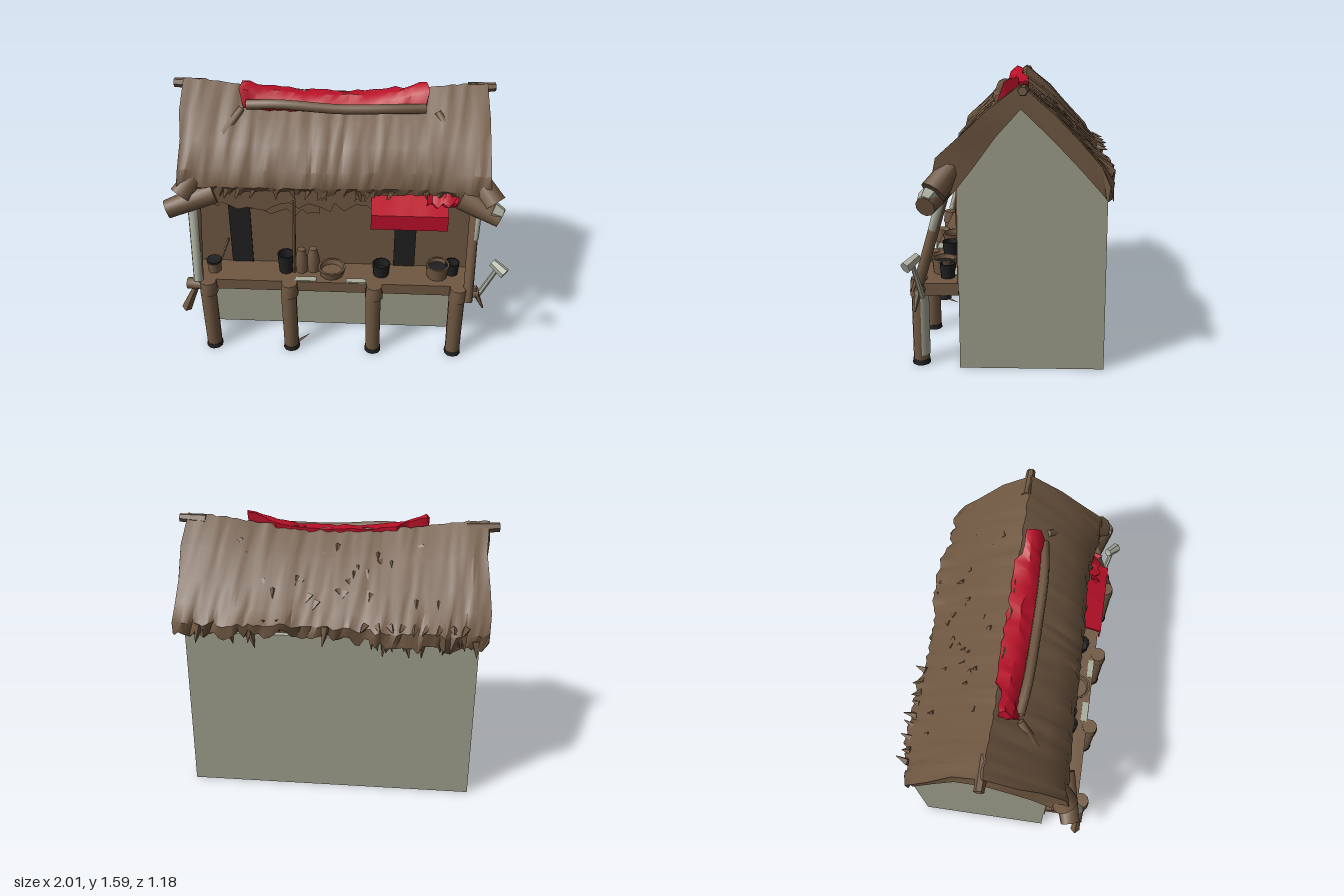
import * as THREE from 'three';
import { toCreasedNormals } from 'three/addons/utils/BufferGeometryUtils.js';

const paint = (name, color, side = THREE.DoubleSide) => {
  const m = new THREE.MeshStandardMaterial({ color, side });
  m.name = name;
  return m;
};

export function createModel() {
  const model = new THREE.Group();
  model.name = 'thatchedHut';
  const brown = paint('thatchBrown', 0x705842);
  const plaster = paint('plasterGrey', 0x9e9f8c);
  const black = paint('sootBlack', 0x202021);
  const red = paint('clothRed', 0xba1028);
  const pale = paint('paleWood', 0xa9ac9c);

  let seed = 7;
  const rnd = () => (seed = (seed * 16807) % 2147483647) / 2147483647;
  const jit = (a) => (rnd() * 2 - 1) * a;
  const V = (p) => new THREE.Vector3(...p);
  const hump = (x, mid, half) => Math.max(0, 1 - ((x - mid) / half) ** 2);

  const add = (name, geo, mat, pos = [0, 0, 0]) => {
    const m = new THREE.Mesh(geo, mat);
    m.name = name;
    m.position.set(...pos);
    model.add(m);
    return m;
  };
  const box = (name, mat, x0, x1, y0, y1, z0, z1) =>
    add(name, new THREE.BoxGeometry(x1 - x0, y1 - y0, z1 - z0), mat, [(x0 + x1) / 2, (y0 + y1) / 2, (z0 + z1) / 2]);

  // tapered pole between two points
  const rod = (name, mat, a, b, ra, rb, sides = 8) => {
    const d = V(b).sub(V(a));
    const geo = toCreasedNormals(new THREE.CylinderGeometry(rb, ra, d.length(), sides, 1), 0.9);
    const m = add(name, geo, mat);
    m.position.copy(V(a)).addScaledVector(d, 0.5);
    m.quaternion.setFromUnitVectors(new THREE.Vector3(0, 1, 0), d.normalize());
  };

  // closed slab lofted along x; section(x) gives upper and lower [z, y] points, front to back
  const slab = (name, mat, x0, x1, steps, section, wobble) => {
    const pos = [], idx = [];
    let n = 0;
    for (let i = 0; i <= steps; i++) {
      const x = x0 + ((x1 - x0) * i) / steps;
      const { top, under } = section(x);
      const ring = [...top, ...under.slice().reverse()];
      n = ring.length;
      const end = i === 0 || i === steps;
      ring.forEach(([z, y]) => pos.push(x + (end ? jit(wobble) : 0), y, z));
    }
    const quad = (a, b, c, d) => idx.push(a, b, c, a, c, d);
    for (let i = 0; i < steps; i++)
      for (let j = 0; j < n; j++) {
        const k = (j + 1) % n;
        quad(i * n + j, (i + 1) * n + j, (i + 1) * n + k, i * n + k);
      }
    for (let j = 0; j < n / 2 - 1; j++) {
      quad(j, j + 1, n - 2 - j, n - 1 - j);
      const o = steps * n;
      quad(o + j, o + n - 1 - j, o + n - 2 - j, o + j + 1);
    }
    const geo = new THREE.BufferGeometry();
    geo.setAttribute('position', new THREE.Float32BufferAttribute(pos, 3));
    geo.setIndex(idx);
    add(name, toCreasedNormals(geo, 0.7), mat);
  };

  // gabled house body and its timber front
  const gable = new THREE.Shape([[0.31, 0], [0.31, 1.04], [0.02, 1.44], [-0.03, 1.475], [-0.49, 1.0], [-0.49, 0]].map((p) => new THREE.Vector2(...p)));
  const body = new THREE.ExtrudeGeometry(gable, { depth: 1.68, bevelEnabled: false });
  body.rotateY(-Math.PI / 2);
  add('houseBody', body, plaster, [0.8, 0, 0]);
  box('frontWall', brown, -0.88, 0.8, 0.43, 1.04, 0.31, 0.318);
  box('leftDoorway', black, 0.345, 0.475, 0.5, 0.88, 0.318, 0.326);
  box('rightDoorway', black, -0.655, -0.525, 0.5, 0.91, 0.318, 0.326);

  // sagging thatched roof, flared at the front corners and uneven at the back eave
  const ridge = (x) => 0.07 * Math.min(1, ((x + 0.05) / 0.8) ** 2);
  const topLine = [[0.375, 1.03], [0.405, 1.09], [0.38, 1.18], [0.27, 1.29], [0.15, 1.39], [-0.03, 1.505],
    [-0.2, 1.38], [-0.35, 1.235], [-0.45, 1.14], [-0.51, 1.06], [-0.5, 0.985]];
  const underLine = [[0.35, 1.0], [0.34, 1.01], [0.32, 1.02], [0.22, 1.145], [0.1, 1.31], [-0.03, 1.455],
    [-0.2, 1.29], [-0.34, 1.145], [-0.46, 1.01], [-0.475, 0.99], [-0.485, 0.98]];
  slab('thatchRoof', brown, -0.925, 0.865, 60, (x) => {
    const f = jit(0.03);
    const b = jit(0.03) + 0.045 * hump(x, 0.25, 0.3) - 0.02 * hump(x, -0.7, 0.3);
    const flare = 0.05 * Math.abs(x + 0.03) ** 4 - 0.02 * hump(x, 0.45, 0.3);
    const puff = 0.04 * hump(x, -0.5, 0.35) + 0.045 * hump(x, 0.38, 0.25);
    return {
      top: topLine.map(([z, y], j) => {
        const lift = ridge(x) * Math.max(0, 1 - Math.abs(j - 5) / 4);
        const drop = j === 0 ? f : j === 10 ? b : j === 9 ? b / 2 : 0;
        const out = j < 3 ? flare : j > 8 ? -puff + jit(0.012) : 0;
        return [z + out + jit(0.006), y + lift + drop + jit(0.006)];
      }),
      under: underLine.map(([z, y], j) => [z, y + (j === 0 ? f : j === 10 ? b : 0)]),
    };
  }, 0.018);
  rod('ridgePole', brown, [-0.99, 1.54, -0.04], [-0.8, 1.53, -0.04], 0.028, 0.035, 6);
  rod('ridgePole', brown, [0.91, 1.55, -0.04], [0.75, 1.54, -0.04], 0.025, 0.035, 6);

  // ragged straw curtains hanging below the front eave
  const fringe = (x0, x1, yTop, yLow, depth, z) => {
    const s = new THREE.Shape();
    s.moveTo(x0, yTop);
    for (let x = x0; x < x1; x += 0.02 + rnd() * 0.05) s.lineTo(x, yLow + jit(depth));
    s.lineTo(x1, yLow);
    s.lineTo(x1, yTop);
    add('strawFringe', new THREE.ShapeGeometry(s), brown, [0, 0, z]);
  };
  fringe(-0.82, 0.22, 1.08, 0.95, 0.035, 0.385);
  fringe(-0.52, -0.1, 1.08, 0.9, 0.03, 0.37);
  fringe(-0.84, 0.8, 1.08, 1.01, 0.03, 0.365);

  // loose straw tufts on the back slope and along both eaves
  const tuft = (p, dir, len, r) => rod('strawTuft', brown, p, V(p).addScaledVector(V(dir).normalize(), len).toArray(), r, 0.002, 4);
  for (let i = 0; i < 30; i++) {
    const x = -0.8 + rnd() * 1.55, t = 0.15 + rnd() * 0.7;
    tuft([x, 1.495 + ridge(x) * (1 - t) - t * 0.385, -0.05 - t * 0.42], [jit(0.6), -0.6, -0.85], 0.06, 0.024);
  }
  for (let i = 0; i < 26; i++) {
    const x = -0.87 + rnd() * (i % 2 ? 0.6 : 1.68);
    tuft([x, 1.03 + jit(0.03) + 0.045 * hump(x, 0.25, 0.3), -0.5], [jit(0.4), -1, -0.25], 0.07 + rnd() * 0.05, 0.028);
  }
  for (let i = 0; i < 9; i++) tuft([-0.8 + i * 0.07, 1.08, -0.5], [jit(0.5), -0.2, -1], 0.05 + rnd() * 0.05, 0.025);
  for (let i = 0; i < 22; i++) tuft([-0.8 + rnd() * 1.5, 1.07, 0.385], [jit(0.5), -1, 0.1], 0.07, 0.022);

  // corner logs with hips running up to the ridge
  for (const [s, x] of [[-1, 0.985], [1, 0.94]]) {
    rod('cornerLog', brown, [s * x, 0.96, 0.46], [s * 0.72, 1.04, 0.38], 0.055, 0.07, 10);
    rod('roofHip', brown, [s * 0.9, 1.03, 0.42], [s * 0.57, 1.45, 0.11], 0.075, 0.02, 10);
  }
  rod('paleLogPatch', pale, [0.945, 0.985, 0.462], [0.89, 1.003, 0.445], 0.04, 0.058, 6);

  // red cloth over the ridge with a roll in front
  slab('ridgeCloth', red, -0.575, 0.505, 24, (x) => {
    const r = ridge(x) + 0.045 * Math.min(1, Math.abs(x + 0.035) / 0.5) ** 4;
    const back = x > -0.42 && x < 0.36 ? -0.05 : -0.01;
    return {
      top: [[0.105, 1.455], [0.075, 1.48 + r], [0.03, 1.51 + r], [back, 1.505 + r]].map(([z, y]) => [z + jit(0.008), y + jit(0.006)]),
      under: [[0.09, 1.42], [0.06, 1.44], [0.02, 1.455], [back, 1.47]],
    };
  }, 0.015);
  const rollPath = new THREE.CatmullRomCurve3([[-0.54, 1.47, 0.1], [-0.35, 1.485, 0.12], [0, 1.465, 0.125], [0.3, 1.47, 0.12], [0.5, 1.465, 0.095]].map(V));
  add('ridgeRoll', new THREE.TubeGeometry(rollPath, 24, 0.03, 7), brown);

  // red awning over the left doorway
  slab('awning', red, 0.2, 0.64, 8, () => ({
    top: [[0.505, 0.89], [0.505, 0.985], [0.36, 1.045 + jit(0.01)]],
    under: [[0.497, 0.89], [0.495, 0.97], [0.36, 1.02]],
  }), 0);
  slab('awningScrap', red, 0.52, 0.7, 6, () => ({
    top: [[0.445 + jit(0.025), 1.03 + jit(0.02)], [0.37, 1.075 + jit(0.02)]],
    under: [[0.42, 1.0], [0.37, 1.02]],
  }), 0.015);

  // porch deck, posts and braces
  box('deck', brown, -0.86, 0.81, 0.43, 0.5, 0.31, 0.515);
  rod('deckEnd', brown, [-0.9, 0.47, 0.52], [-0.78, 0.47, 0.525], 0.034, 0.036);
  rod('deckEnd', brown, [0.85, 0.465, 0.52], [0.74, 0.465, 0.525], 0.03, 0.036);
  for (const [x0, x1, z0, z1] of [[-0.25, -0.12, 0.47, 0.51], [0.06, 0.18, 0.475, 0.512], [0.55, 0.68, 0.33, 0.37]])
    box('deckPatch', pale, x0, x1, 0.5, 0.506, z0, z1);
  for (const x of [-0.77, -0.28, 0.23, 0.73]) {
    rod('porchPost', brown, [x, 0.02, 0.535], [x - 0.005, 0.42, 0.535], 0.046, 0.048, 10);
    rod('postHead', brown, [x, 0.42, 0.535], [x, 0.505, 0.535], 0.055, 0.048, 10);
    rod('postFoot', black, [x, 0, 0.535], [x, 0.028, 0.535], 0.052, 0.048, 10);
  }
  const bark = new THREE.CylinderGeometry(0.05, 0.049, 0.37, 8, 1, true, Math.PI * 0.55, Math.PI * 0.75);
  add('paleBark', bark, pale, [0.727, 0.24, 0.535]);
  rod('rightBrace', pale, [-0.83, 0.5, 0.53], [-0.85, 0.98, 0.39], 0.028, 0.03);
  rod('rightBraceInner', brown, [-0.82, 0.45, 0.54], [-0.825, 0.98, 0.37], 0.02, 0.022);
  rod('leftBrace', brown, [0.79, 0.42, 0.55], [0.8, 1.0, 0.38], 0.03, 0.03);
  rod('leftBracePale', pale, [0.806, 0.8, 0.445], [0.813, 0.95, 0.4], 0.024, 0.026);
  rod('porchStick', brown, [-0.26, 0.5, 0.42], [-0.25, 1.0, 0.4], 0.011, 0.011, 6);
  rod('leaningStick', brown, [-0.74, 0.5, 0.42], [-0.665, 0.68, 0.34], 0.012, 0.008, 6);

  // hanging paddle and hammer at the deck ends
  rod('paddle', brown, [-0.84, 0.47, 0.53], [-0.925, 0.28, 0.53], 0.016, 0.03, 4);
  rod('hammerHandle', pale, [0.86, 0.44, 0.5], [0.95, 0.68, 0.54], 0.016, 0.013, 6);
  rod('hammerHead', pale, [0.915, 0.685, 0.51], [0.985, 0.645, 0.565], 0.026, 0.034, 6);
  rod('peg', brown, [0.82, 0.5, 0.52], [0.885, 0.365, 0.54], 0.025, 0.006, 5);

  // pots, jars and baskets on the deck
  const pot = (name, mat, x, z, profile) =>
    add(name, toCreasedNormals(new THREE.LatheGeometry(profile.map((p) => new THREE.Vector2(...p)), 12), 0.7), mat, [x, 0.5, z]);
  const basket = (r, h) => [[0, 0], [r * 0.85, 0], [r, h], [r * 0.85, h], [r * 0.75, h * 0.4], [0, h * 0.4]];
  const jar = [[0, 0], [0.035, 0], [0.04, 0.08], [0.03, 0.13], [0.024, 0.16], [0, 0.165]];
  pot('smallBowl', brown, -0.75, 0.42, basket(0.045, 0.08));
  pot('smallBowlFill', black, -0.75, 0.42, [[0.042, 0.055], [0.047, 0.082], [0, 0.075]]);
  pot('tallBasket', black, -0.31, 0.4, basket(0.052, 0.125));
  pot('jar', brown, -0.215, 0.4, jar);
  pot('jar', brown, -0.145, 0.39, jar);
  pot('wideBowl', brown, -0.03, 0.42, basket(0.085, 0.05));
  pot('darkBasket', black, 0.27, 0.41, basket(0.055, 0.08));
  pot('largeBowl', brown, 0.61, 0.41, basket(0.072, 0.085));
  pot('largeBowlFill', black, 0.61, 0.41, [[0.064, 0.06], [0, 0.065]]);
  pot('leftDarkPot', black, 0.7, 0.38, basket(0.045, 0.08));

  // cloth scraps and a flake of wood on the ground
  const scrap = (name, mat, pts) => {
    const geo = new THREE.BufferGeometry().setFromPoints(pts.map(V));
    geo.computeVertexNormals();
    add(name, geo, mat);
  };
  scrap('redScrap', red, [[0.7, 0.01, 0.313], [0.775, 0.01, 0.313], [0.77, 0.06, 0.313]]);
  scrap('redScrap', red, [[0.175, 0.48, 0.53], [0.18, 0.36, 0.53], [0.2, 0.47, 0.53]]);
  scrap('woodFlake', brown, [[-0.27, 0.004, 0.5], [-0.27, 0.004, 0.55], [-0.17, 0.006, 0.42]]);
  return model;
}
